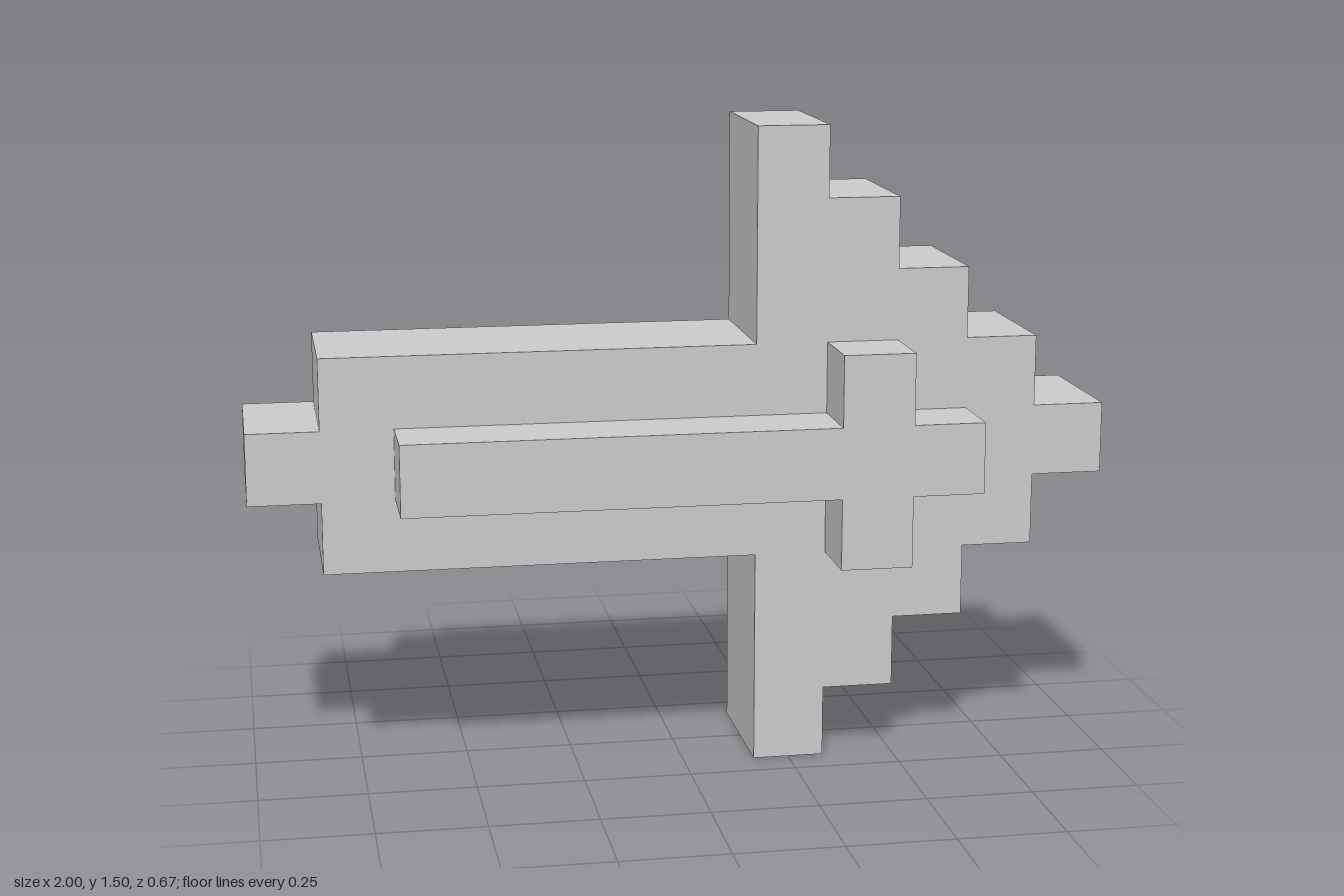
import * as THREE from 'three';

const U = 1 / 6; // one block
const MID = 4.5; // height of the arrow's axis, in blocks

// Stepped outline, mirrored about the axis. Each step is [xStart, xEnd, halfHeight] in blocks.
function steppedPlate(steps, depth, material) {
  const upper = [];
  for (const [x0, x1, h] of steps) {
    upper.push([x0, h]);
    const next = steps.find((s) => s[0] === x1);
    if (!next || next[2] !== h) upper.push([x1, h]);
  }
  const lower = upper.map(([x, h]) => [x, -h]);
  const points = [...lower, ...upper.reverse()].map(
    ([x, y]) => new THREE.Vector2(x * U, (y + MID) * U)
  );
  const geometry = new THREE.ExtrudeGeometry(new THREE.Shape(points), {
    depth: depth * U,
    bevelEnabled: false,
  });
  return new THREE.Mesh(geometry, material);
}

export function createModel() {
  const model = new THREE.Group();
  model.name = 'blockArrow';
  const grey = new THREE.MeshStandardMaterial({ color: 0xcccccc, flatShading: true });

  // Tail, shaft and stepped arrowhead
  const body = steppedPlate(
    [[-6, -5, 0.5], [-5, 1, 1.5], [1, 2, 4.5], [2, 3, 3.5], [3, 4, 2.5], [4, 5, 1.5], [5, 6, 0.5]],
    2,
    grey
  );
  body.name = 'arrowBody';
  body.position.z = -U;
  model.add(body);

  // Raised cross-shaped ridge on the front and back
  for (const [name, z] of [['frontRidge', 1], ['backRidge', -2]]) {
    const ridge = steppedPlate([[-4, 2, 0.5], [2, 3, 1.5], [3, 4, 0.5]], 1, grey);
    ridge.name = name;
    ridge.position.z = z * U;
    model.add(ridge);
  }

  return model;
}
